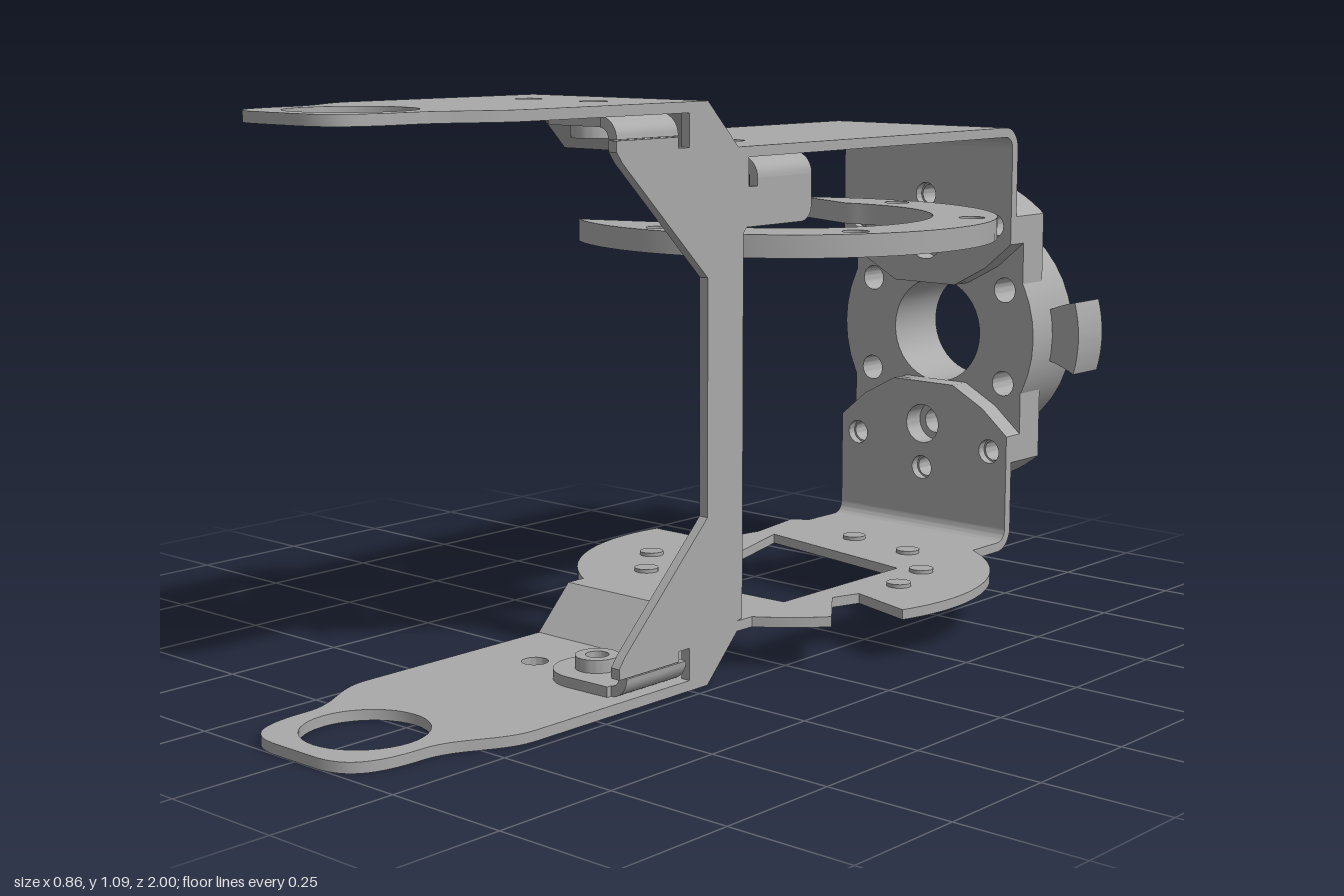
import * as THREE from 'three';
import { toCreasedNormals } from 'three/addons/utils/BufferGeometryUtils.js';

const steel = new THREE.MeshStandardMaterial({ color: 0xa9a9a9 });
steel.name = 'steel grey';

const C = 0.546;          // height of the hub axis, plane of symmetry of the arms
const W = 0.225;          // half width of the bracket
const T = 0.02;           // sheet thickness
const D2R = Math.PI / 180;

const poly = (pts) => new THREE.Shape(pts.map(([a, b]) => new THREE.Vector2(a, b)));
const polar = (r, deg, cx = 0, cy = 0) => [cx + r * Math.cos(deg * D2R), cy + r * Math.sin(deg * D2R)];

// Points along an arc, angles in degrees
function arc(r, from, to, cx = 0, cy = 0, n = 24) {
  return Array.from({ length: n + 1 }, (_, i) => polar(r, from + (to - from) * i / n, cx, cy));
}

function drill(shape, centres, r) {
  for (const [x, y] of centres) shape.holes.push(new THREE.Path().absarc(x, y, r, 0, Math.PI * 2, true));
  return shape;
}

function mesh(name, geometry, parent) {
  const m = new THREE.Mesh(toCreasedNormals(geometry, 0.6), steel);
  m.name = name;
  parent.add(m);
  return m;
}

const extrude = (shape, depth) =>
  new THREE.ExtrudeGeometry(shape, { depth, bevelEnabled: false, curveSegments: 20 });

// Horizontal sheet: outline in (x, z), hanging down from height top
const slab = (name, shape, top, thick, parent) =>
  mesh(name, extrude(shape, thick).rotateX(Math.PI / 2).translate(0, top, 0), parent);

// Side profile: outline in (z, y), spanning x from right to right - width
const profile = (name, shape, right, width, parent) =>
  mesh(name, extrude(shape, width).rotateY(-Math.PI / 2).translate(right, 0, 0), parent);

// Upright sheet: outline in (x, y), from z0 to z1
const upright = (name, shape, z0, z1, parent) =>
  mesh(name, extrude(shape, z1 - z0).translate(0, 0, z0), parent);

const disc = (r, x = 0, z = 0) => new THREE.Shape().absarc(x, z, r, 0, Math.PI * 2, false);
const pair = (z) => [[-0.083, z], [0.083, z]];

// One arm in its upper position; the lower arm is the same one turned over
function arm(name, parent) {
  const g = new THREE.Group();
  g.name = name;

  // front tongue with the pivot eye
  const tip = new THREE.Shape();
  tip.moveTo(-W, 0.2);
  tip.lineTo(W, 0.2);
  tip.lineTo(W, 0.65);
  tip.bezierCurveTo(W, 0.73, 0.155, 0.77, 0.155, 0.85);
  tip.bezierCurveTo(0.155, 0.95, 0.13, 1, 0.05, 1);
  tip.lineTo(-0.05, 1);
  tip.bezierCurveTo(-0.13, 1, -0.155, 0.95, -0.155, 0.85);
  tip.bezierCurveTo(-0.155, 0.77, -W, 0.73, -W, 0.65);
  drill(tip, [[0, 0.845]], 0.115);
  drill(tip, pair(0.35), 0.026);
  slab('frontTongue', tip, 1.092, T, g);

  // sloping step and rear bend
  profile('slopedStep', poly([[0.2, 1.092], [0.115, 1.005], [0.115, 0.985], [0.2, 1.072]]), W, 2 * W, g);
  profile('rearBend', poly([
    ...arc(0.045, 90, 180, -0.755, 0.96, 8), ...arc(0.025, 180, 90, -0.755, 0.96, 8),
  ]), W, 2 * W, g);

  // rear mounting plate, its spacer and the bolted cap behind it
  const bolts = [54, 90, 126].map((a) => polar(0.305, a, 0, C));
  const edge = [[-W, 0.755], [-0.16, 0.7], [-0.08, 0.657], [0.08, 0.657], [0.16, 0.7], [W, 0.755]];
  const seat = [polar(0.206, 90, 0, C)];
  const plate = drill(drill(poly([...edge, [W, 0.96], [-W, 0.96]]), bolts, 0.026), seat, 0.043);
  upright('rearPlate', plate, -0.8, -0.78, g);
  const spacer = drill(drill(poly([...edge, ...arc(0.35, 50, 130, 0, C)]), bolts, 0.022), seat, 0.043);
  upright('spacer', spacer, -0.83, -0.8, g);
  const cap = drill(poly([...arc(0.35, 50, 130, 0, C), ...arc(0.25, 154, 26, 0, C)]), bolts, 0.022);
  upright('hubCap', cap, -0.905, -0.83, g);

  parent.add(g);
  return g;
}

export function createModel() {
  const model = new THREE.Group();
  model.name = 'jointBracket';

  const upper = arm('upperArm', model);
  const lower = arm('lowerArm', model);
  lower.rotation.z = Math.PI;
  lower.position.y = 2 * C;

  // plain rear sheet of the upper arm
  const sheet = poly([[-W, -0.755], [W, -0.755], [W, 0.115], [-W, 0.115]]);
  slab('upperSheet', drill(sheet, pair(-0.03), 0.026), 1.005, T, upper);

  // lower sheet widening into a broken round flange
  const zc = -0.295;
  const flange = poly([
    [W, 0.115], ...arc(0.43, 58.4, 38, 0, zc, 6), [0.25, zc + 0.15], [0.27, zc + 0.09],
    ...arc(0.43, 18, -58.4, 0, zc), [W, -0.755], [-W, -0.755],
    ...arc(0.43, 238.4, 233, 0, zc, 3), [-0.235, zc - 0.2], [-0.26, zc - 0.07],
    ...arc(0.43, 189.5, 121.6, 0, zc), [-W, 0.115],
  ]);
  flange.holes.push(new THREE.Path(
    [[0.2, -0.13], [0.2, 0.24], [-0.06, 0.25], [-0.19, -0.2]].map(([x, z]) => new THREE.Vector2(x, zc + z))));
  slab('lowerFlange', flange, 0.107, T, model);
  for (const a of [-97, -63, -29, -3, 100, 127, 156]) {
    const [x, z] = polar(0.29, a, 0, zc);
    mesh('flangePin', new THREE.CylinderGeometry(0.025, 0.025, 0.025, 16).translate(x, 0.102, z), model);
  }

  // open ring under the upper arm
  const ring = poly([...arc(0.43, -124, 124, 0, zc, 48), ...arc(0.3, 103.5, -103.5, 0, zc, 40)]);
  drill(ring, [-90, -30, 30, 90].map((a) => polar(0.38, a, 0, zc)), 0.026);
  slab('openRing', ring, 0.84, 0.044, model);

  // round hub on the rear with six bolt holes and a side lug
  const hub = new THREE.Shape().absarc(0, C, 0.255, 0, Math.PI * 2, false);
  drill(hub, [[0, C]], 0.115);
  drill(hub, [30, 90, 150, 210, 270, 330].map((a) => polar(0.206, a, 0, C)), 0.027);
  upright('hub', hub, -0.985, -0.83, model);
  const lug = new THREE.Shape();
  lug.moveTo(0.235, 0.495);
  lug.quadraticCurveTo(0.28, 0.485, 0.31, 0.468);
  lug.quadraticCurveTo(0.333, 0.546, 0.31, 0.625);
  lug.quadraticCurveTo(0.28, 0.62, 0.235, 0.6);
  upright('hubLug', lug, -1, -0.905, model);

  // side web joining both arms, with gussets and a rear ear
  const gusset = [[0.2, 0.77], [0.425, 0.99], [0.44, 1.01], [0.44, 1.03], [0.28, 1.03], [0.28, 1.01],
    [0.25, 1.01], [0.25, 1.072], [0.2, 1.072], [0.115, 0.985]];
  const flipped = gusset.map(([z, y]) => [z, 2 * C - y]).reverse();
  profile('sideWeb', poly([
    ...gusset, [0.085, 0.985], [0.085, 0.93], [0.06, 0.93], [0.06, 0.945], [-0.1, 0.945],
    ...arc(0.03, 180, 270, -0.07, 0.885, 6), [0.09, 0.855], [0.1, 0.845], [0.1, 0.11], ...flipped,
  ]), W, T, model);

  // folded tabs of the web, each with a threaded boss
  function tab(name, z, top, parent) {
    const g = new THREE.Group();
    g.name = name;
    const leaf = poly([[0.185, z - 0.08], [0.185, z + 0.08], ...arc(0.083, 90, 270, 0.083, z)]);
    slab('leaf', drill(leaf, [[0.083, z]], 0.022), top, T, g);
    slab('boss', drill(disc(0.042, 0.083, z), [[0.083, z]], 0.022), top - T, 0.025, g);
    upright('fold', poly([
      ...arc(0.04, 0, 90, 0.185, top - 0.04, 8), ...arc(0.02, 90, 0, 0.185, top - 0.04, 8),
    ]), z - 0.07, z + 0.09, g);
    parent.add(g);
    return g;
  }
  tab('upperFrontTab', 0.35, 1.072, model);
  tab('upperRearTab', -0.03, 0.985, model);
  // the lower tab is turned over about the long axis of the web
  const low = tab('lowerFrontTab', -0.35, 1.072, model);
  low.rotation.x = Math.PI;
  low.position.y = 2 * C;

  return model;
}
